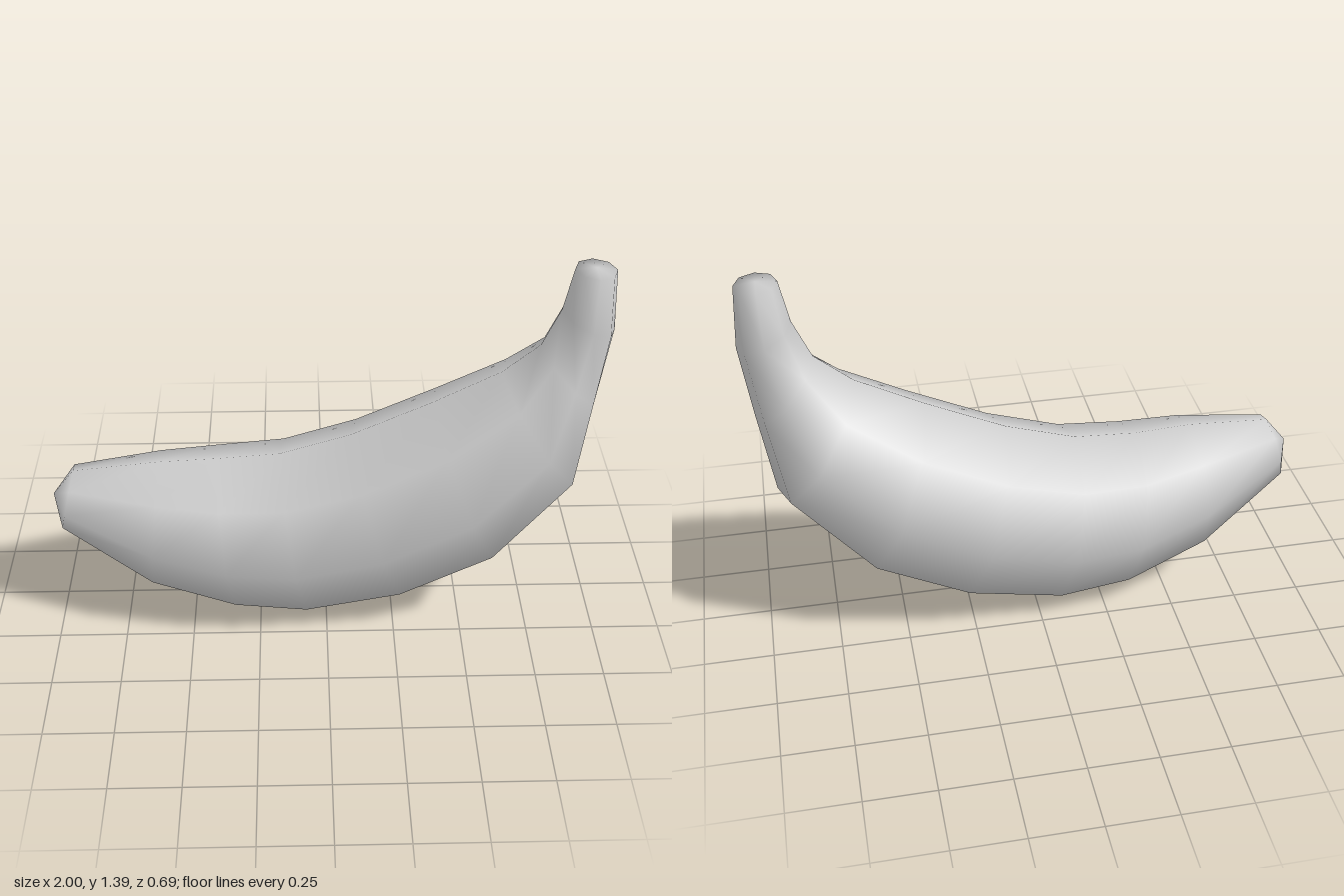
import * as THREE from 'three';

const SIDES = 8;

// Cross-sections along the fruit: [topX, topY, bottomX, bottomY, halfWidth, centreZ]
const RINGS = [
  [-0.92, 0.61, -0.975, 0.38, 0.122, 0.033],
  [-0.61, 0.635, -0.65, 0.14, 0.25, 0.02],
  [-0.4, 0.635, -0.33, 0.03, 0.308, 0.004],
  [-0.17, 0.65, -0.06, 0.005, 0.33, 0],
  [0.09, 0.73, 0.3, 0.08, 0.343, 0],
  [0.38, 0.865, 0.64, 0.25, 0.336, 0],
  [0.62, 0.99, 0.92, 0.57, 0.265, 0],
  [0.75, 1.1, 0.965, 0.88, 0.15, 0],
  [0.81, 1.24, 1.0, 1.16, 0.107, 0],
  [0.84, 1.395, 0.985, 1.39, 0.079, 0],
];
const TIP = [-1, 0.51, 0.035];
const STEM_END = [0.912, 1.4, 0];

function loft(rings, start, end) {
  const positions = [];
  const index = [];

  // Eight-sided ellipses with a vertex on the top and bottom ridge
  for (const [tx, ty, bx, by, halfWidth, cz] of rings) {
    for (let j = 0; j < SIDES; j++) {
      const a = (j / SIDES) * Math.PI * 2;
      const t = (1 - Math.cos(a)) / 2;
      positions.push(tx + (bx - tx) * t, ty + (by - ty) * t, cz + halfWidth * Math.sin(a));
    }
  }
  const first = rings.length * SIDES;
  positions.push(...start, ...end);

  // Skin between the rings, with a fan closing each end
  const last = (rings.length - 1) * SIDES;
  for (let j = 0; j < SIDES; j++) {
    const k = (j + 1) % SIDES;
    for (let r = 0; r < last; r += SIDES) {
      index.push(r + j, r + k, r + SIDES + j);
      index.push(r + k, r + SIDES + k, r + SIDES + j);
    }
    index.push(first, k, j);
    index.push(last + j, last + k, first + 1);
  }

  const geometry = new THREE.BufferGeometry();
  geometry.setAttribute('position', new THREE.Float32BufferAttribute(positions, 3));
  geometry.setIndex(index);
  geometry.computeVertexNormals();
  return geometry;
}

export function createModel() {
  const group = new THREE.Group();
  group.name = 'banana';

  // Curved peel, from the blunt tip up to the stem
  const material = new THREE.MeshStandardMaterial({ color: 0xcccccc });
  const peel = new THREE.Mesh(loft(RINGS, TIP, STEM_END), material);
  peel.name = 'peel';
  group.add(peel);

  return group;
}
